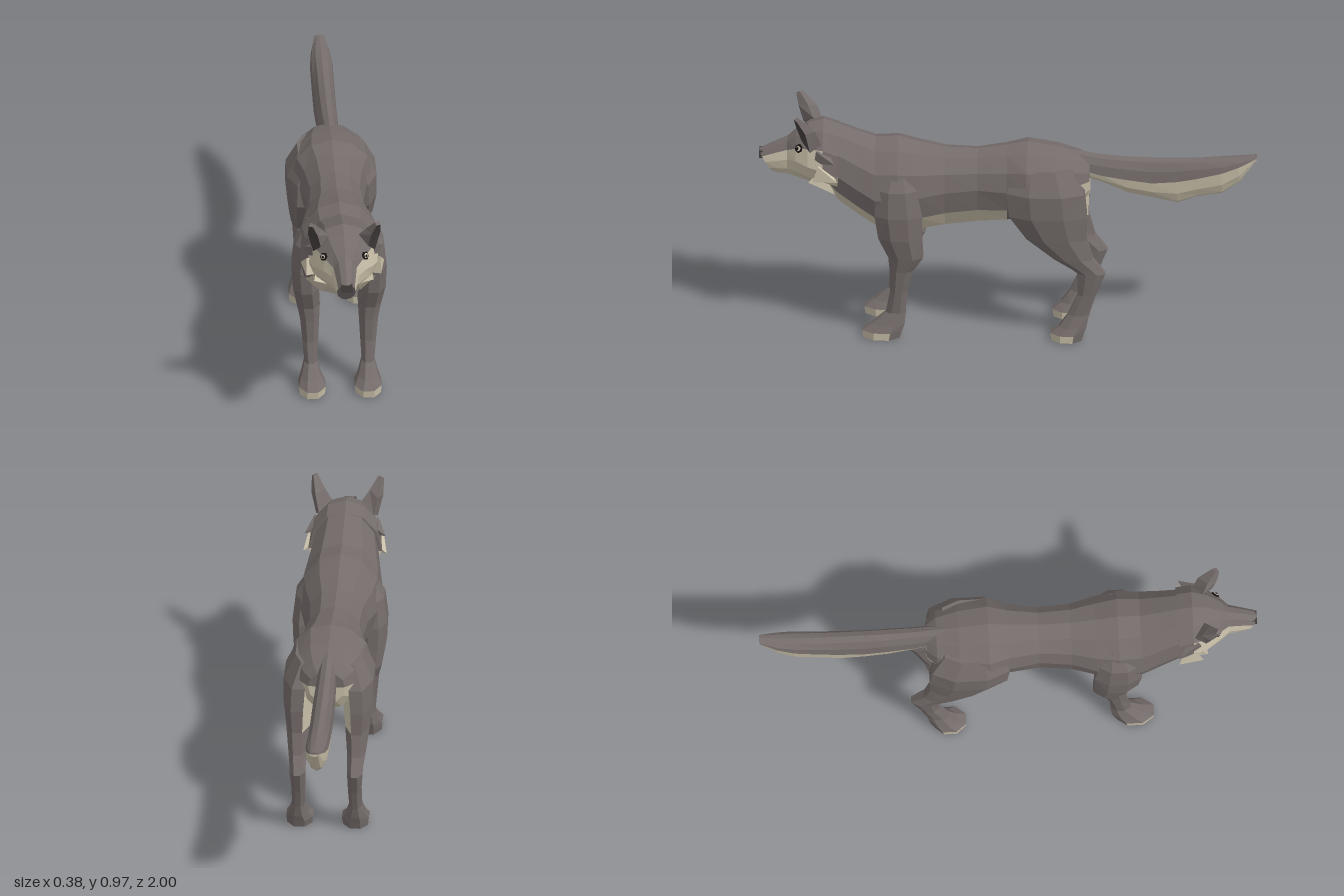
import * as THREE from 'three';

const material = (name, color) => {
  const m = new THREE.MeshStandardMaterial({ color });
  m.name = name;
  return m;
};

export function createModel() {
  const model = new THREE.Group();
  model.name = 'wolf';
  const mats = [
    material('greyFur', 0x746c6a), material('creamFur', 0xcac1aa), material('darkGrey', 0x443f3e),
    material('eyeDark', 0x1c1515), material('eyeLight', 0xd8d2c0),
  ];
  const GREY = 0, CREAM = 1, DARK = 2, EYE = 3, EYELIGHT = 4;

  // Skin rings of points with flat faces; paint(ring, segment) picks a colour,
  // ring -1 is the start cap and the last ring index is the end cap.
  function loft(name, rings, paint, side = 1) {
    const faces = mats.map(() => []);
    const tri = (m, a, b, c) => {
      for (const p of side > 0 ? [a, b, c] : [a, c, b]) faces[m].push(p[0] * side, p[1], p[2]);
    };
    const n = rings[0].length, last = rings.length - 1;
    const centre = (r) => [0, 1, 2].map((k) => r.reduce((s, p) => s + p[k], 0) / n);
    const c0 = centre(rings[0]), c1 = centre(rings[last]);
    for (let j = 0; j < n; j++) {
      const k = (j + 1) % n;
      tri(paint(-1, j), c0, rings[0][k], rings[0][j]);
      for (let i = 0; i < last; i++) {
        const m = paint(i, j);
        tri(m, rings[i][j], rings[i][k], rings[i + 1][k]);
        tri(m, rings[i][j], rings[i + 1][k], rings[i + 1][j]);
      }
      tri(paint(last, j), c1, rings[last][j], rings[last][k]);
    }
    const g = new THREE.BufferGeometry();
    let start = 0;
    faces.forEach((f, m) => {
      if (f.length) g.addGroup(start, f.length / 3, m);
      start += f.length / 3;
    });
    g.setAttribute('position', new THREE.Float32BufferAttribute(faces.flat(), 3));
    g.computeVertexNormals();
    const mesh = new THREE.Mesh(g, mats);
    mesh.name = name;
    model.add(mesh);
  }

  // Upright section across the spine: z, top, bottom, height of widest point, half width, slant
  const section = ([z, top, bot, mid, w, slant = 0]) => Array.from({ length: 12 }, (_, k) => {
    const a = -Math.PI / 2 + (k * Math.PI) / 6, s = Math.sin(a);
    const y = mid + s * (s > 0 ? top - mid : mid - bot);
    return [w * Math.cos(a), y, z + slant * (y - top)];
  });
  const up = (j) => Math.min(j, 11 - j); // 0 = underside, 5 = back

  // Torso and neck
  loft('body', [
    [-0.33, 0.745, 0.6, 0.68, 0.075], [-0.29, 0.775, 0.55, 0.68, 0.115],
    [-0.2, 0.80, 0.52, 0.67, 0.15], [-0.08, 0.82, 0.5, 0.66, 0.165],
    [0, 0.805, 0.48, 0.65, 0.135], [0.12, 0.785, 0.465, 0.65, 0.115],
    [0.25, 0.79, 0.45, 0.64, 0.125], [0.35, 0.81, 0.435, 0.63, 0.155],
    [0.44, 0.835, 0.43, 0.62, 0.172], [0.53, 0.83, 0.455, 0.62, 0.165],
    [0.6, 0.855, 0.5, 0.66, 0.15], [0.68, 0.885, 0.56, 0.71, 0.135],
    [0.74, 0.9, 0.63, 0.76, 0.115],
  ].map(section), (i, j) => {
    if (i <= 0) return up(j) < 3 ? CREAM : GREY;
    return ((i >= 4 && i < 7) || i >= 8) && up(j) < 2 ? CREAM : GREY;
  });

  // Skull with wide cheeks, and muzzle
  loft('head', [
    [0.68, 0.885, 0.62, 0.71, 0.148], [0.74, 0.905, 0.635, 0.735, 0.145],
    [0.8, 0.89, 0.645, 0.745, 0.122], [0.85, 0.855, 0.655, 0.755, 0.087],
    [0.885, 0.825, 0.66, 0.745, 0.054], [0.94, 0.80, 0.665, 0.735, 0.046, 0.15],
    [1, 0.77, 0.67, 0.725, 0.038, 0.6],
  ].map(section), (i, j) => {
    if (i === 6 || (i > 3 && up(j) === 0)) return GREY;
    return up(j) < (i > 0 ? 4 : 3) ? CREAM : GREY;
  });

  // Tail, thick in the middle with a pale underside
  loft('tail', [
    [-1, 0.775, 0.755, 0.768, 0.02], [-0.93, 0.768, 0.655, 0.735, 0.038],
    [-0.86, 0.763, 0.605, 0.71, 0.046], [-0.76, 0.758, 0.588, 0.685, 0.046],
    [-0.68, 0.757, 0.56, 0.67, 0.046], [-0.58, 0.757, 0.58, 0.662, 0.046],
    [-0.48, 0.76, 0.602, 0.675, 0.045], [-0.38, 0.768, 0.65, 0.69, 0.042],
    [-0.29, 0.782, 0.68, 0.715, 0.038], [-0.22, 0.79, 0.7, 0.74, 0.03],
  ].map(section), (i, j) => (up(j) < 3 ? CREAM : GREY));

  // Level section of a leg: y, back z, front z, inner x, outer x
  const legSection = ([y, zb, zf, xi, xo]) => Array.from({ length: 8 }, (_, k) => {
    const a = (k + 0.5) * Math.PI / 4, s = 0.5 / Math.cos(Math.PI / 8);
    return [(xi + xo) / 2 + (xo - xi) * s * Math.sin(a), y, (zb + zf) / 2 + (zf - zb) * s * Math.cos(a)];
  });
  const frontLeg = [
    [0, 0.43, 0.575, 0.062, 0.163], [0.032, 0.42, 0.58, 0.058, 0.166],
    [0.06, 0.41, 0.54, 0.075, 0.155], [0.11, 0.405, 0.485, 0.09, 0.14],
    [0.2, 0.402, 0.468, 0.085, 0.148], [0.3, 0.375, 0.47, 0.08, 0.157],
    [0.36, 0.335, 0.475, 0.077, 0.17], [0.45, 0.34, 0.515, 0.082, 0.186],
    [0.55, 0.34, 0.53, 0.09, 0.19], [0.66, 0.36, 0.52, 0.09, 0.178],
    [0.75, 0.39, 0.48, 0.07, 0.128],
  ].map(legSection);
  const hindLeg = [
    [0, -0.3, -0.18, 0.062, 0.163], [0.032, -0.31, -0.175, 0.058, 0.166],
    [0.06, -0.32, -0.21, 0.075, 0.155], [0.11, -0.33, -0.245, 0.09, 0.14],
    [0.2, -0.358, -0.285, 0.087, 0.14], [0.295, -0.396, -0.285, 0.085, 0.146],
    [0.315, -0.38, -0.26, 0.083, 0.148], [0.36, -0.345, -0.19, 0.08, 0.156],
    [0.45, -0.32, -0.08, 0.07, 0.168], [0.55, -0.322, -0.01, 0.06, 0.18],
    [0.65, -0.312, 0, 0.05, 0.18], [0.745, -0.26, -0.03, 0.04, 0.135],
  ].map(legSection);
  const paw = (i, j) => (i < 0 || (i === 0 && (j < 2 || j > 4)) ? CREAM : GREY);

  // Four-sided lock of fur from base to tip
  function tuft(name, mat, base, tip, radius, side) {
    const a = new THREE.Vector3(base[0] * side, base[1], base[2]);
    const b = new THREE.Vector3(tip[0] * side, tip[1], tip[2]);
    const dir = b.clone().sub(a);
    const g = new THREE.ConeGeometry(radius, dir.length(), 4).toNonIndexed();
    g.computeVertexNormals();
    const mesh = new THREE.Mesh(g, mats[mat]);
    mesh.name = name;
    mesh.position.copy(a).add(b).multiplyScalar(0.5);
    mesh.quaternion.setFromUnitVectors(new THREE.Vector3(0, 1, 0), dir.normalize());
    model.add(mesh);
  }

  // Thin six-sided plate facing along a normal
  function plate(name, mat, pos, normal, radius, side) {
    const g = new THREE.CylinderGeometry(radius, radius, 0.008, 6).toNonIndexed();
    g.computeVertexNormals();
    const mesh = new THREE.Mesh(g, mats[mat]);
    mesh.name = name;
    mesh.position.set(pos[0] * side, pos[1], pos[2]);
    mesh.quaternion.setFromUnitVectors(new THREE.Vector3(0, 1, 0),
      new THREE.Vector3(normal[0] * side, normal[1], normal[2]).normalize());
    model.add(mesh);
  }

  for (const side of [1, -1]) {
    const tag = side > 0 ? 'left' : 'right';
    loft(tag + 'FrontLeg', frontLeg, paw, side);
    loft(tag + 'HindLeg', hindLeg, (i, j) =>
      (i > 7 && i < 11 && j === 4 ? CREAM : paw(i, j)), side);

    // Ear: front, outer, back and inner corners rising to a tip, dark inside
    loft(tag + 'Ear', [
      [[0.095, 0.85, 0.825], [0.124, 0.81, 0.79], [0.11, 0.84, 0.745], [0.06, 0.88, 0.785]],
      [[0.108, 0.912, 0.845], [0.145, 0.9, 0.808], [0.125, 0.905, 0.77], [0.09, 0.92, 0.805]],
      [[0.127, 0.958, 0.855], [0.145, 0.956, 0.842], [0.138, 0.964, 0.828], [0.122, 0.966, 0.84]],
    ], (i, j) => (j === 0 && i >= 0 && i < 2 ? DARK : GREY), side);

    // Cheek and neck ruff
    tuft(tag + 'NeckTuft', GREY, [0.105, 0.79, 0.75], [0.163, 0.775, 0.69], 0.04, side);
    tuft(tag + 'CheekTuft', CREAM, [0.12, 0.72, 0.75], [0.168, 0.7, 0.68], 0.05, side);
    tuft(tag + 'JawTuft', CREAM, [0.08, 0.69, 0.77], [0.11, 0.62, 0.69], 0.05, side);

    // Eyes
    plate(tag + 'EyeRim', EYE, [0.083, 0.81, 0.836], [0.75, 0.35, 0.55], 0.018, side);
    plate(tag + 'EyeWhite', EYELIGHT, [0.085, 0.811, 0.837], [0.75, 0.35, 0.55], 0.011, side);
    plate(tag + 'Pupil', EYE, [0.086, 0.811, 0.841], [0.75, 0.35, 0.55], 0.006, side);
  }

  // Nose
  const nose = new THREE.Mesh(new THREE.BoxGeometry(0.046, 0.032, 0.03), mats[DARK]);
  nose.name = 'nose';
  nose.position.set(0, 0.752, 0.984);
  model.add(nose);

  return model;
}
